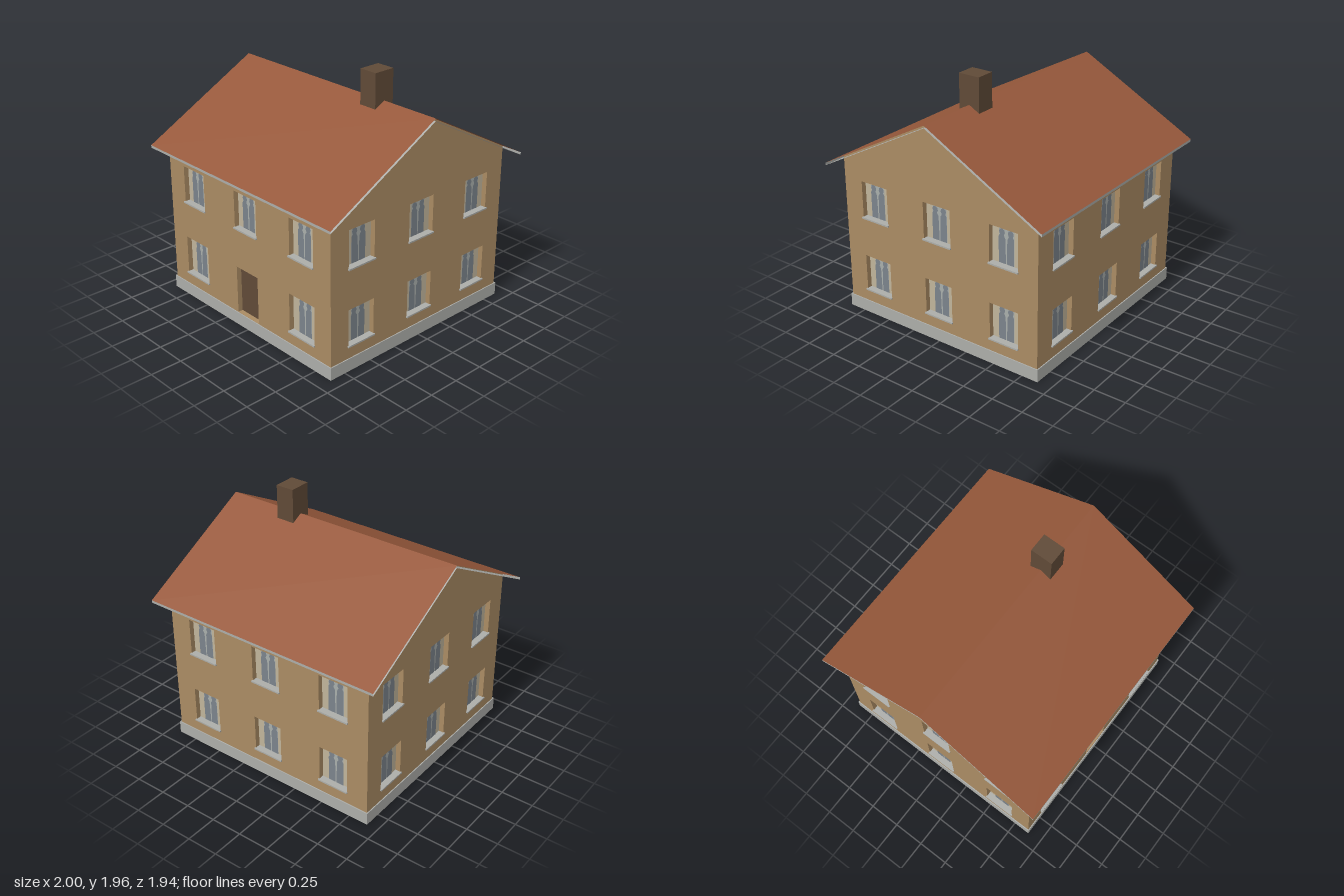
import * as THREE from 'three';
import { mergeGeometries } from 'three/addons/utils/BufferGeometryUtils.js';

const mat = (name, color, side = THREE.DoubleSide) => {
  const m = new THREE.MeshStandardMaterial({ color, side });
  m.name = name;
  return m;
};

// House dimensions
const HX = 0.9, HZ = 0.875;            // half width and half depth of the walls
const RIDGE = 1.735, EAVE = 1.215;     // roof heights
const ROOF_X = 1, ROOF_Z = 0.97, ROOF_T = 0.02;
const RECESS = 0.04;                   // depth of the openings
const WALL_TOP = RIDGE - (RIDGE - EAVE) * HZ / ROOF_Z - 0.002;

export function createModel() {
  const wallMat = mat('ochre plaster', 0xaa8b63);
  const roofMat = mat('clay tile', 0x96583b);
  const stoneMat = mat('grey stone', 0xacada9);
  const woodMat = mat('dark brown', 0x604a37);
  const curtainMat = mat('cream curtain', 0xc0b49b);
  const netMat = mat('pale pane', 0xa9aeab);
  const glassMat = mat('blue grey glass', 0x7b838b);

  const house = new THREE.Group();
  house.name = 'house';

  const add = (parent, name, geo, material, x = 0, y = 0, z = 0) => {
    const m = new THREE.Mesh(geo, material);
    m.name = name;
    m.position.set(x, y, z);
    parent.add(m);
    return m;
  };

  // Flat four-cornered face, corners counter-clockwise
  const quad = (a, b, c, d) => {
    const g = new THREE.BufferGeometry();
    g.setAttribute('position', new THREE.Float32BufferAttribute([...a, ...b, ...c, ...d], 3));
    g.setIndex([0, 1, 2, 0, 2, 3]);
    g.computeVertexNormals();
    return g;
  };

  const rectPath = (Type, x0, y0, x1, y1) => new Type([
    [x0, y0], [x1, y0], [x1, y1], [x0, y1],
  ].map(([x, y]) => new THREE.Vector2(x, y)));

  // Four inner sides of an opening, from the wall face back to the pane
  const reveal = (w, h) => {
    const c = [[-w / 2, 0], [w / 2, 0], [w / 2, h], [-w / 2, h]];
    return mergeGeometries(c.map((p, i) => {
      const q = c[(i + 1) % 4];
      return quad([...p, 0], [...q, 0], [...q, -RECESS], [...p, -RECESS]);
    }));
  };

  // Glass seen between gathered curtains: one half, narrowing to a rounded top
  const glassHalf = (h, side) => {
    const s = new THREE.Shape();
    const p = [[0.004, 0.01], [0.065, 0.01], [0.065, 0.72 * h], [0.054, 0.78 * h],
      [0.062, 0.85 * h], [0.055, 0.91 * h], [0.035, 0.93 * h], [0.018, 0.9 * h],
      [0.012, 0.83 * h], [0.022, 0.76 * h], [0.008, 0.68 * h]];
    s.setFromPoints(p.map(([x, y]) => new THREE.Vector2(x * side, y)));
    return new THREE.ShapeGeometry(s);
  };

  const makeWindow = (w, h) => {
    const g = new THREE.Group();
    g.name = 'window';
    add(g, 'windowReveal', reveal(w, h), wallMat);
    add(g, 'curtain', new THREE.PlaneGeometry(w, h), curtainMat, 0, h / 2, -RECESS);
    // the pane reads the same from outside and inside
    for (const face of [1, -1]) {
      add(g, 'pane', new THREE.PlaneGeometry(0.13, h - 0.02), netMat,
        0, h / 2, -RECESS + face * 0.003);
      for (const side of [1, -1]) {
        add(g, 'glass', glassHalf(h, side), glassMat, 0, 0, -RECESS + face * 0.006);
      }
    }
    add(g, 'sill', new THREE.BoxGeometry(w + 0.012, 0.012, RECESS + 0.013), stoneMat,
      0, 0, (0.013 - RECESS) / 2);
    return g;
  };

  const makeDoor = (w, h) => {
    const g = new THREE.Group();
    g.name = 'door';
    add(g, 'doorReveal', reveal(w, h), wallMat);
    add(g, 'doorLeaf', new THREE.PlaneGeometry(w, h), woodMat, 0, h / 2, -RECESS);
    return g;
  };

  // A wall facing +z with its openings, turned to its place
  const makeWall = (name, half, dist, angle, gable, openings) => {
    const g = new THREE.Group();
    g.name = name;
    const outline = [[-half, 0], [half, 0], [half, WALL_TOP]];
    if (gable) outline.push([0, RIDGE - 0.002]);
    outline.push([-half, WALL_TOP]);
    const shape = new THREE.Shape(outline.map(([x, y]) => new THREE.Vector2(x, y)));
    for (const { x, y, w, h, door } of openings) {
      shape.holes.push(rectPath(THREE.Path, x - w / 2, y, x + w / 2, y + h));
      const part = door ? makeDoor(w, h) : makeWindow(w, h);
      part.position.set(x, y, 0);
      g.add(part);
    }
    add(g, name + 'Face', new THREE.ShapeGeometry(shape), wallMat);
    g.rotation.y = angle;
    g.position.set(Math.sin(angle) * dist, 0, Math.cos(angle) * dist);
    house.add(g);
  };

  const row = (xs, y, w, h) => xs.map((x) => ({ x, y, w, h }));
  const upper = (s) => row([-s, 0, s], 0.805, 0.245, 0.295);
  const lower = (s) => row([-s, 0, s], 0.197, 0.245, 0.29);

  makeWall('frontWall', HX, HZ, 0, false, [
    ...upper(0.602),
    ...row([-0.602, 0.602], 0.197, 0.265, 0.308),
    { x: 0, y: 0.1, w: 0.24, h: 0.385, door: true },
  ]);
  makeWall('backWall', HX, HZ, Math.PI, false, [...upper(0.602), ...lower(0.602)]);
  makeWall('leftWall', HZ, HX, Math.PI / 2, true, [...upper(0.587), ...lower(0.587)]);
  makeWall('rightWall', HZ, HX, -Math.PI / 2, true, [...upper(0.587), ...lower(0.587)]);

  // Stone plinth ring around the open base
  const ring = rectPath(THREE.Shape, -0.91, -0.885, 0.91, 0.885);
  ring.holes.push(rectPath(THREE.Path, -HX - 0.002, -HZ - 0.002, HX + 0.002, HZ + 0.002));
  const plinth = new THREE.ExtrudeGeometry(ring, { depth: 0.1, bevelEnabled: false });
  add(house, 'plinth', plinth.rotateX(-Math.PI / 2), stoneMat);

  // Roof slopes, each with a grey soffit and fascia; the gable ends stay open
  const roof = new THREE.Group();
  roof.name = 'roof';
  house.add(roof);
  for (const turn of [0, Math.PI]) {
    const slope = new THREE.Group();
    slope.name = turn ? 'backSlope' : 'frontSlope';
    slope.rotation.y = turn;
    const X = ROOF_X, Z = ROOF_Z, low = EAVE - ROOF_T, high = RIDGE - ROOF_T;
    add(slope, 'tiles', quad([-X, EAVE, Z], [X, EAVE, Z], [X, RIDGE, 0], [-X, RIDGE, 0]), roofMat);
    add(slope, 'soffit', quad([-X, high, 0], [X, high, 0], [X, low, Z], [-X, low, Z]), stoneMat);
    add(slope, 'fascia', quad([-X, low, Z], [X, low, Z], [X, EAVE, Z], [-X, EAVE, Z]), stoneMat);
    roof.add(slope);
  }

  // Chimney astride the ridge
  add(house, 'chimney', new THREE.BoxGeometry(0.15, 0.27, 0.175), woodMat, 0.435, 1.82, 0);

  return house;
}
